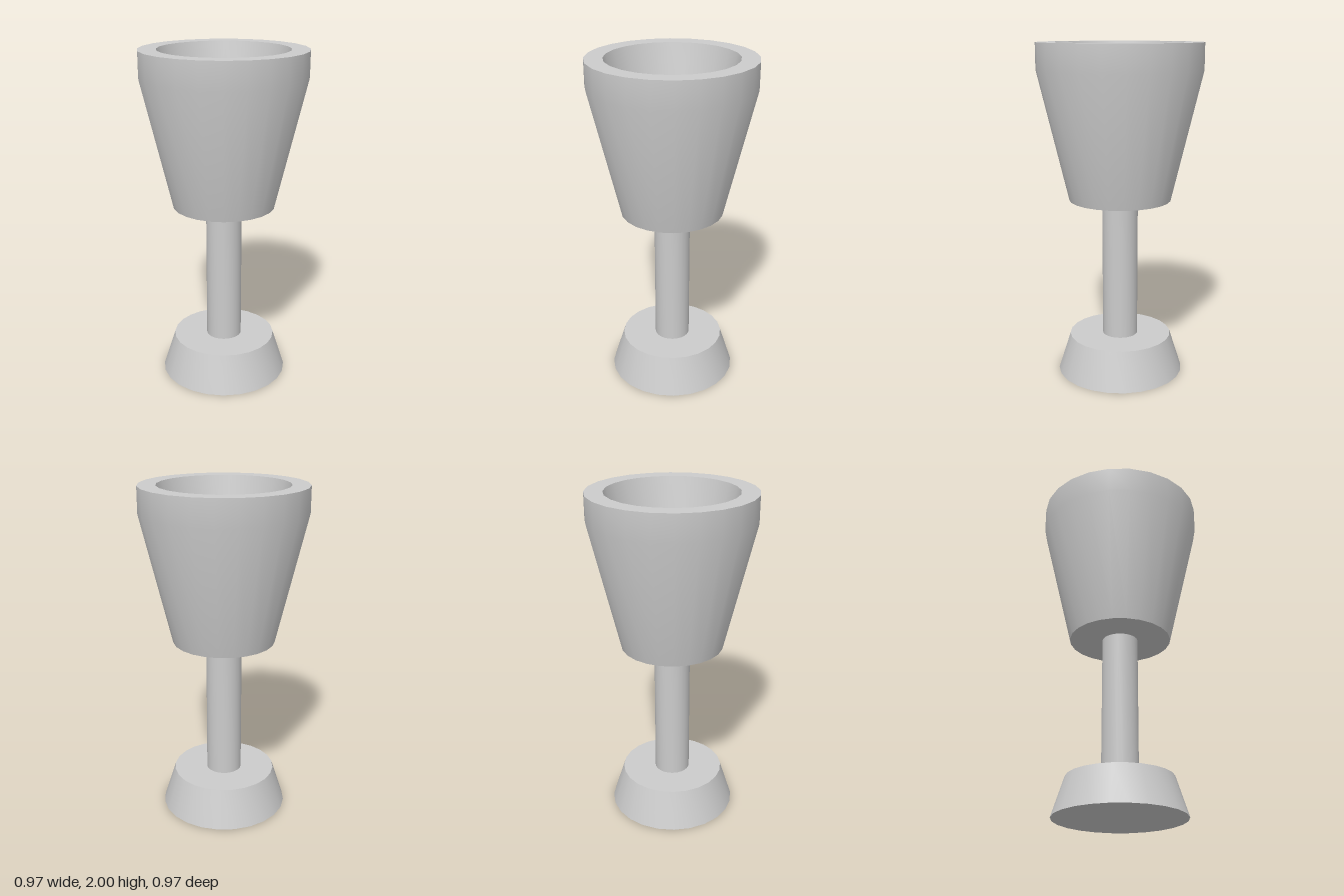
import * as THREE from 'three';
import { toCreasedNormals } from 'three/addons/utils/BufferGeometryUtils.js';

const SIDES = 24;

export function createModel() {
  const group = new THREE.Group();
  group.name = 'goblet';
  const material = new THREE.MeshStandardMaterial({ color: 0xcccccc });

  // Turn a [radius, height] profile around y, keeping hard rims sharp
  const turn = (name, profile) => {
    const points = profile.map(([r, y]) => new THREE.Vector2(r, y));
    const geometry = toCreasedNormals(new THREE.LatheGeometry(points, SIDES), Math.PI / 6);
    const mesh = new THREE.Mesh(geometry, material);
    mesh.name = name;
    group.add(mesh);
  };

  // Flared foot
  turn('foot', [[0, 0], [0.383, 0], [0.31, 0.23], [0, 0.23]]);

  // Plain round stem, its ends meeting the foot and the bowl
  turn('stem', [[0.107, 0.23], [0.107, 1.08]]);

  // Thick-walled bowl: underside, tapered wall, upright lip, flat rim, hollow
  turn('bowl', [
    [0, 1.08], [0.304, 1.08], [0.485, 1.845], [0.485, 2],
    [0.38, 2], [0.285, 1.55], [0, 1.55],
  ]);

  return group;
}
